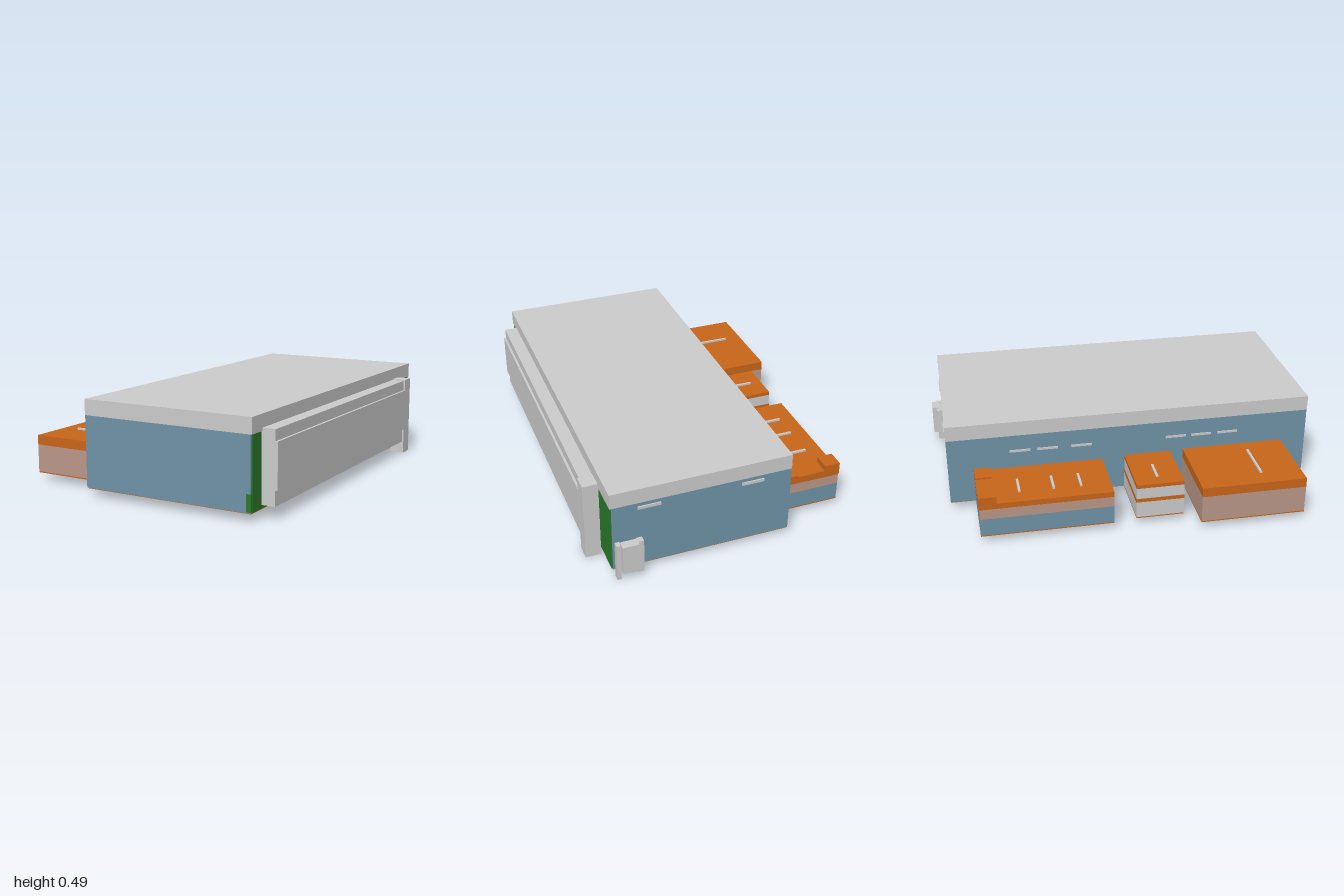
import * as THREE from 'three';

const mat = (color) => new THREE.MeshStandardMaterial({ color });

export function createModel() {
  const root = new THREE.Group();
  const grey = mat(0xcccccc), blue = mat(0x6f93a8), orange = mat(0xc8661a);
  const green = mat(0x2a7a2a), clay = mat(0xba9788);

  // box given by its limits on each axis
  const box = (name, m, x0, x1, y0, y1, z0, z1, parent = root) => {
    const mesh = new THREE.Mesh(new THREE.BoxGeometry(x1 - x0, y1 - y0, z1 - z0), m);
    mesh.position.set((x0 + x1) / 2, (y0 + y1) / 2, (z0 + z1) / 2);
    mesh.name = name;
    parent.add(mesh);
    return mesh;
  };
  const group = (name) => {
    const g = new THREE.Group();
    g.name = name;
    root.add(g);
    return g;
  };

  // main hall
  const hall = group('mainHall');
  box('hallFloor', orange, -0.29, 0.625, 0.04, 0.05, -0.94, 0.99, hall);
  box('hallWalls', blue, -0.295, 0.626, 0.045, 0.41, -0.943, 0.998, hall);
  box('sideWall', green, 0.626, 0.632, 0.047, 0.41, -0.94, 0.99, hall);
  box('hallRoof', grey, -0.295, 0.635, 0.41, 0.49, -0.945, 1.0, hall);
  box('cornerPlate', green, 0.605, 0.63, 0.05, 0.135, 0.99, 1.0, hall);

  // narrow window strips on the side and back walls
  const windows = group('windowStrips');
  for (const z of [-0.565, -0.42, -0.24, 0.27, 0.41, 0.555])
    box('sideWindow', grey, -0.3, -0.29, 0.315, 0.327, z - 0.055, z + 0.055, windows);
  for (const x of [-0.09, 0.44])
    box('backWindow', grey, x - 0.058, x + 0.058, 0.375, 0.39, -0.95, -0.94, windows);

  // loading gallery with a stepped outer face and a tall end post
  const gallery = group('gallery');
  const profile = [
    [0.63, 0.065], [0.703, 0.065], [0.703, 0.14], [0.715, 0.14],
    [0.715, 0.37], [0.703, 0.37], [0.703, 0.425], [0.63, 0.425],
  ].map(([x, y]) => new THREE.Vector2(x, y));
  const body = new THREE.Mesh(
    new THREE.ExtrudeGeometry(new THREE.Shape(profile), { depth: 1.595, bevelEnabled: false }), grey);
  body.position.z = -0.69;
  body.name = 'galleryBody';
  gallery.add(body);
  box('galleryPost', grey, 0.632, 0.712, 0.0, 0.43, -0.765, -0.685, gallery);

  // side annexes: floor, layered walls, roof slab and roof strips
  const annexes = [
    { name: 'frontAnnex', x: -0.72, z: [0.31, 0.86], top: 0.24, eave: 0.19, low: clay, high: clay, bars: [0.645], bar: [-0.625, -0.385] },
    { name: 'middleAnnex', x: -0.62, z: [-0.01, 0.24], top: 0.235, eave: 0.215, low: grey, high: grey, bars: [0.11], bar: [-0.555, -0.435], belt: true },
    { name: 'backAnnex', x: -0.64, z: [-0.81, -0.13], top: 0.225, eave: 0.195, low: blue, high: clay, bars: [-0.6, -0.425, -0.285], bar: [-0.555, -0.435] },
  ];
  for (const a of annexes) {
    const g = group(a.name);
    const [z0, z1] = a.z;
    box('annexFloor', orange, a.x, -0.29, 0.04, 0.046, z0, z1, g);
    box('annexLowerWall', a.low, a.x, -0.29, 0.046, 0.14, z0, z1, g);
    box('annexUpperWall', a.high, a.x, -0.29, 0.14, a.eave, z0, z1, g);
    box('annexRoof', orange, a.x, -0.29, a.eave, a.top, z0, z1, g);
    if (a.belt) box('annexBelt', orange, a.x - 0.002, -0.29, 0.135, 0.155, z0 - 0.002, z1 + 0.002, g);
    for (const z of a.bars)
      box('roofStrip', grey, a.bar[0], a.bar[1], a.top - 0.005, a.top + 0.01, z - 0.006, z + 0.006, g);
  }

  // stepped blocks along the back edge of the back annex roof
  const blocks = group('roofBlocks');
  box('tallBlock', orange, -0.643, -0.56, 0.2, 0.265, -0.812, -0.722, blocks);
  box('middleBlock', orange, -0.56, -0.41, 0.2, 0.235, -0.812, -0.722, blocks);
  box('innerBlock', orange, -0.41, -0.31, 0.2, 0.245, -0.812, -0.728, blocks);

  // back entrance: panel between two posts
  const porch = group('backPorch');
  box('porchBacking', grey, 0.48, 0.615, 0.05, 0.2, -0.965, -0.94, porch);
  box('porchPanel', grey, 0.508, 0.592, 0.05, 0.21, -1.0, -0.96, porch);
  box('porchPostInner', grey, 0.478, 0.51, 0.02, 0.205, -0.975, -0.942, porch);
  box('porchPostOuter', grey, 0.594, 0.615, 0.0, 0.205, -0.975, -0.942, porch);

  return root;
}
